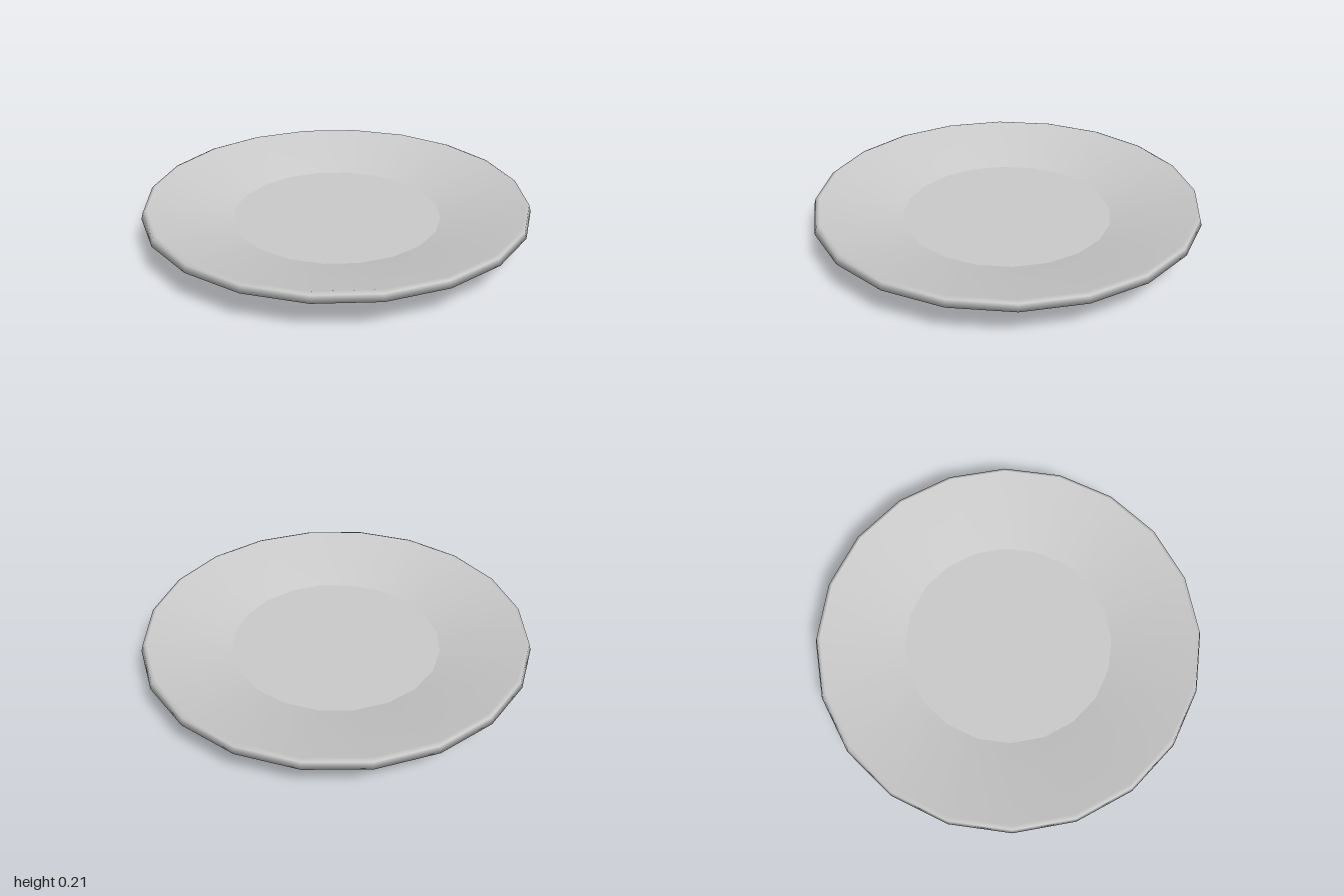
import * as THREE from 'three';

const SIDES = 20;

export function createModel() {
  const group = new THREE.Group();
  const material = new THREE.MeshStandardMaterial({ color: 0xcccccc });

  // Revolves a profile of [radius, height] pairs, outward faces for bottom-to-top order
  const addRing = (name, profile) => {
    const points = profile.map(([r, y]) => new THREE.Vector2(r, y));
    const mesh = new THREE.Mesh(new THREE.LatheGeometry(points, SIDES), material);
    mesh.name = name;
    group.add(mesh);
  };

  // Slightly recessed centre of the base
  addRing('baseCentre', [[0, 0.03], [0.4, 0.03]]);

  // Foot, flared underside, rim and sloping inner wall with smooth shading
  addRing('plateBody', [
    [0.4, 0.03], [0.72, 0], [0.765, 0.07], [1, 0.165],
    [0.99, 0.2], [0.97, 0.208], [0.545, 0.1],
  ]);

  // Flat floor of the plate
  addRing('plateFloor', [[0.545, 0.1], [0, 0.1]]);

  return group;
}
